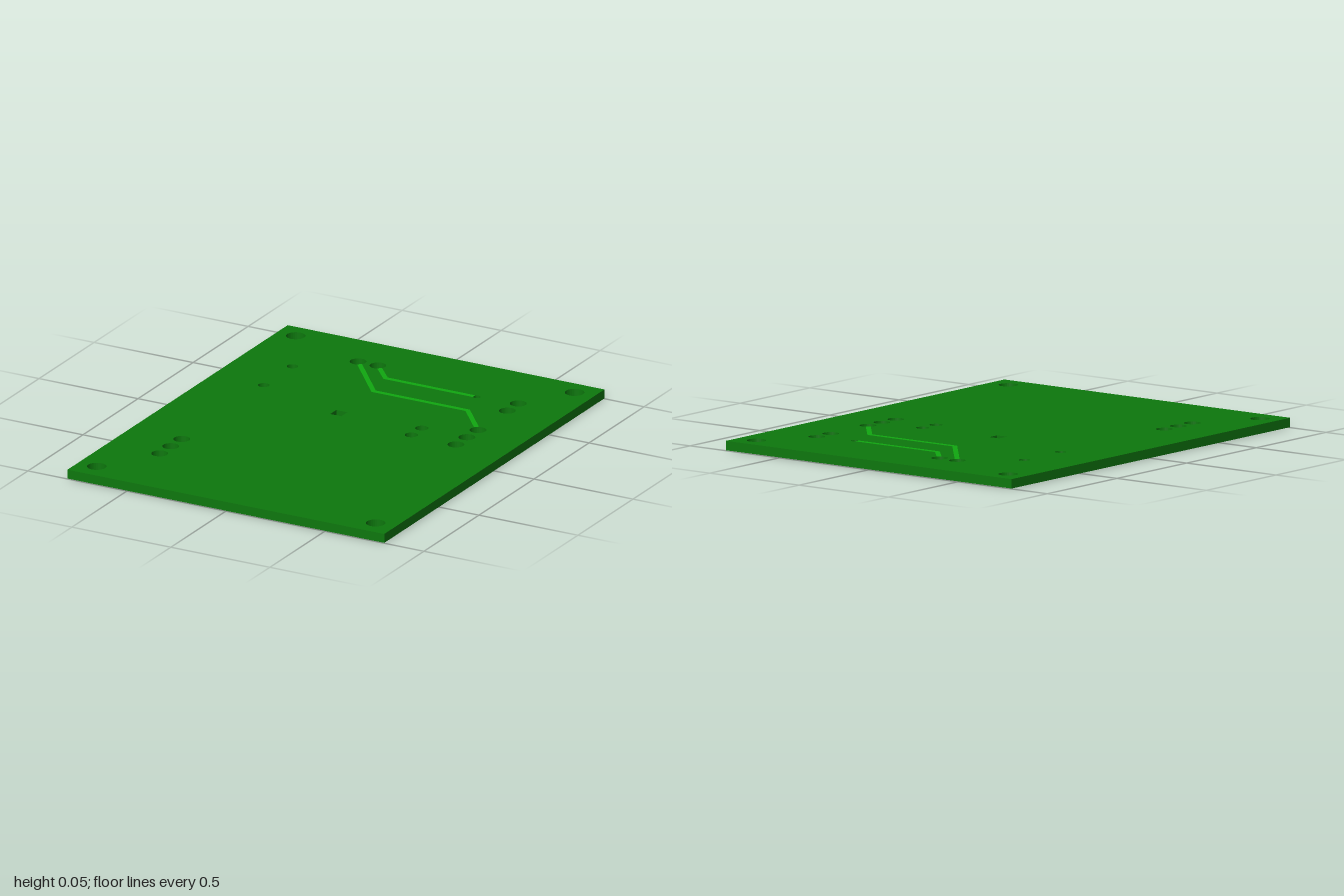
import * as THREE from 'three';

const TOP = 0.095, BOTTOM = 0.053, FILM = 0.002;
const boardGreen = new THREE.MeshStandardMaterial({ color: 0x0d780d });
const traceGreen = new THREE.MeshStandardMaterial({ color: 0x10a810 });

// Drill holes: x, z, radius
const holes = [
  [-0.707, -0.905, 0.043], [0.702, -0.905, 0.043], [-0.707, 0.902, 0.043], [0.702, 0.902, 0.043],
  [-0.315, -0.767, 0.037], [-0.215, -0.767, 0.037],
  [0.55, -0.667, 0.037], [0.55, -0.567, 0.037],
  [0.55, -0.3, 0.037], [0.55, -0.2, 0.037], [0.55, -0.1, 0.037],
  [-0.54, 0.43, 0.037], [-0.54, 0.53, 0.037], [-0.54, 0.63, 0.037],
  [-0.54, -0.575, 0.025], [-0.54, -0.315, 0.025],
  [0.322, -0.2, 0.029], [0.322, -0.105, 0.029], [0.352, -0.648, 0.016],
];

function circle(x, z, r) {
  return new THREE.Path().absarc(x, z, r, 0, Math.PI * 2, true);
}

function rect(Type, x, z, w, d) {
  return new Type([[-1, -1], [1, -1], [1, 1], [-1, 1]]
    .map(([i, j]) => new THREE.Vector2(x + i * w / 2, z + j * d / 2)));
}

// Flat piece drawn in x/z and extruded down from y = top
function slab(name, shape, top, depth, material) {
  const geo = new THREE.ExtrudeGeometry(shape, { depth, bevelEnabled: false, curveSegments: 16 });
  geo.rotateX(Math.PI / 2).translate(0, top, 0);
  const mesh = new THREE.Mesh(geo, material);
  mesh.name = name;
  return mesh;
}

// Mitred strip along a path; ends are cut back to the rims of drill holes
function strip(points, width) {
  const p = points.map(([x, z]) => new THREE.Vector2(x, z));
  const last = p.length - 1;
  const cut = (end, next) => {
    const hole = holes.find(h => Math.hypot(h[0] - end.x, h[1] - end.y) < 0.01);
    if (hole) end.add(next.clone().sub(end).setLength(hole[2] - 0.001));
  };
  cut(p[0], p[1]);
  cut(p[last], p[last - 1]);
  const left = [], right = [];
  p.forEach((q, i) => {
    const a = q.clone().sub(p[Math.max(i - 1, 0)]).normalize();
    const b = p[Math.min(i + 1, last)].clone().sub(q).normalize();
    const dir = a.clone().add(b).normalize();
    const normal = new THREE.Vector2(-dir.y, dir.x);
    const ref = i === last ? a : b;
    normal.multiplyScalar(width / 2 / Math.max(0.4, dir.dot(ref)));
    left.push(q.clone().add(normal));
    right.unshift(q.clone().sub(normal));
  });
  return new THREE.Shape([...left, ...right]);
}

export function createModel() {
  const model = new THREE.Group();
  model.name = 'circuitBoard';

  // Drilled board with one square slot
  const outline = rect(THREE.Shape, 0, 0, 1.6, 2);
  holes.forEach(h => outline.holes.push(circle(...h)));
  outline.holes.push(rect(THREE.Path, -0.086, -0.18, 0.056, 0.056));
  model.add(slab('board', outline, TOP, TOP - BOTTOM, boardGreen));

  // Traces on the upper side
  [
    [[-0.315, -0.767], [-0.08, -0.485], [0.395, -0.485], [0.55, -0.3]],
    [[-0.215, -0.767], [-0.11, -0.648], [0.352, -0.648]],
  ].forEach(path => model.add(slab('topTrace', strip(path, 0.022), TOP + 0.001, 0.001, traceGreen)));

  // Traces on the underside
  const under = [
    [[0.55, -0.1], [0.72, 0.08], [0.72, 0.74], [0.6, 0.84], [0.1, 0.84]],
    [[0.55, -0.2], [0.68, -0.06], [0.68, 0.7], [0.56, 0.79], [0.14, 0.79]],
    [[-0.54, 0.63], [-0.24, 0.69], [-0.04, 0.69], [0.08, 0.58], [0.08, 0.4]],
    [[-0.54, 0.53], [-0.27, 0.64], [-0.07, 0.64], [0.03, 0.55], [0.03, 0.3]],
    [[-0.54, 0.43], [-0.3, 0.59], [-0.1, 0.59], [-0.02, 0.52], [-0.02, 0.2]],
    [[-0.54, -0.575], [-0.44, -0.7], [-0.315, -0.767]],
    [[-0.54, -0.315], [-0.4, -0.45], [-0.215, -0.767]],
    [[-0.54, -0.315], [-0.64, -0.2], [-0.64, 0.3], [-0.54, 0.43]],
    [[0.55, -0.667], [0.44, -0.75], [0.1, -0.75]],
    [[0.55, -0.567], [0.46, -0.48], [0.2, -0.48], [0.06, -0.34]],
    [[0.322, -0.2], [0.18, -0.2], [0.08, -0.1], [0.08, 0.1]],
    [[0.322, -0.105], [0.322, 0.08], [0.4, 0.16], [0.4, 0.36]],
    [[0.352, -0.648], [0.24, -0.56], [-0.1, -0.56]],
  ];
  under.forEach(path => model.add(slab('bottomTrace', strip(path, 0.02), BOTTOM, FILM, traceGreen)));

  // Solder rings around the connector holes
  holes.slice(4).forEach(([x, z, r]) => {
    const ring = new THREE.Shape().absarc(x, z, r + 0.012, 0, Math.PI * 2, false);
    ring.holes.push(circle(x, z, r));
    model.add(slab('solderRing', ring, BOTTOM, FILM * 0.8, boardGreen));
  });

  // Component footprints underneath: outline frame with a row of pads on two sides
  const frame = (name, x, z, w, d) => {
    const shape = rect(THREE.Shape, x, z, w, d);
    shape.holes.push(rect(THREE.Path, x, z, w - 0.016, d - 0.016));
    model.add(slab(name, shape, BOTTOM, FILM * 0.6, boardGreen));
  };
  const footprints = [
    [0.28, -0.84, 0.2, 0.11, 2], [0, -0.84, 0.2, 0.11, 2],
    [0.3, -0.38, 0.2, 0.1, 2], [-0.06, -0.4, 0.16, 0.16, 3], [-0.28, -0.3, 0.16, 0.2, 3],
    [-0.34, -0.04, 0.2, 0.12, 2], [-0.1, 0.04, 0.14, 0.18, 3], [0.2, 0.04, 0.14, 0.1, 2],
    [0.54, 0.12, 0.14, 0.2, 3], [0.24, 0.24, 0.2, 0.16, 3], [0.54, 0.4, 0.14, 0.2, 3],
    [-0.26, 0.2, 0.2, 0.12, 2], [-0.24, 0.42, 0.2, 0.12, 2], [0.26, 0.46, 0.2, 0.12, 2],
    [0.5, 0.64, 0.18, 0.12, 2], [0.24, 0.66, 0.18, 0.12, 2],
    [-0.4, 0.8, 0.2, 0.1, 2], [-0.1, 0.8, 0.2, 0.1, 2],
  ];
  footprints.forEach(([x, z, w, d, pins]) => {
    frame('footprintOutline', x, z, w, d);
    for (let i = 0; i < pins; i++) {
      for (const side of [-1, 1]) {
        const pad = rect(THREE.Shape, x + side * (w / 2 - 0.035), z + ((i + 0.5) / pins - 0.5) * (d - 0.02), 0.03, 0.022);
        model.add(slab('solderPad', pad, BOTTOM, FILM * 0.8, boardGreen));
      }
    }
  });

  // Connector outlines around the hole rows
  frame('connectorOutline', 0.55, -0.2, 0.16, 0.34);
  frame('connectorOutline', 0.55, -0.617, 0.16, 0.24);
  frame('connectorOutline', -0.54, 0.53, 0.16, 0.34);
  frame('connectorOutline', -0.265, -0.767, 0.24, 0.16);

  return model;
}
